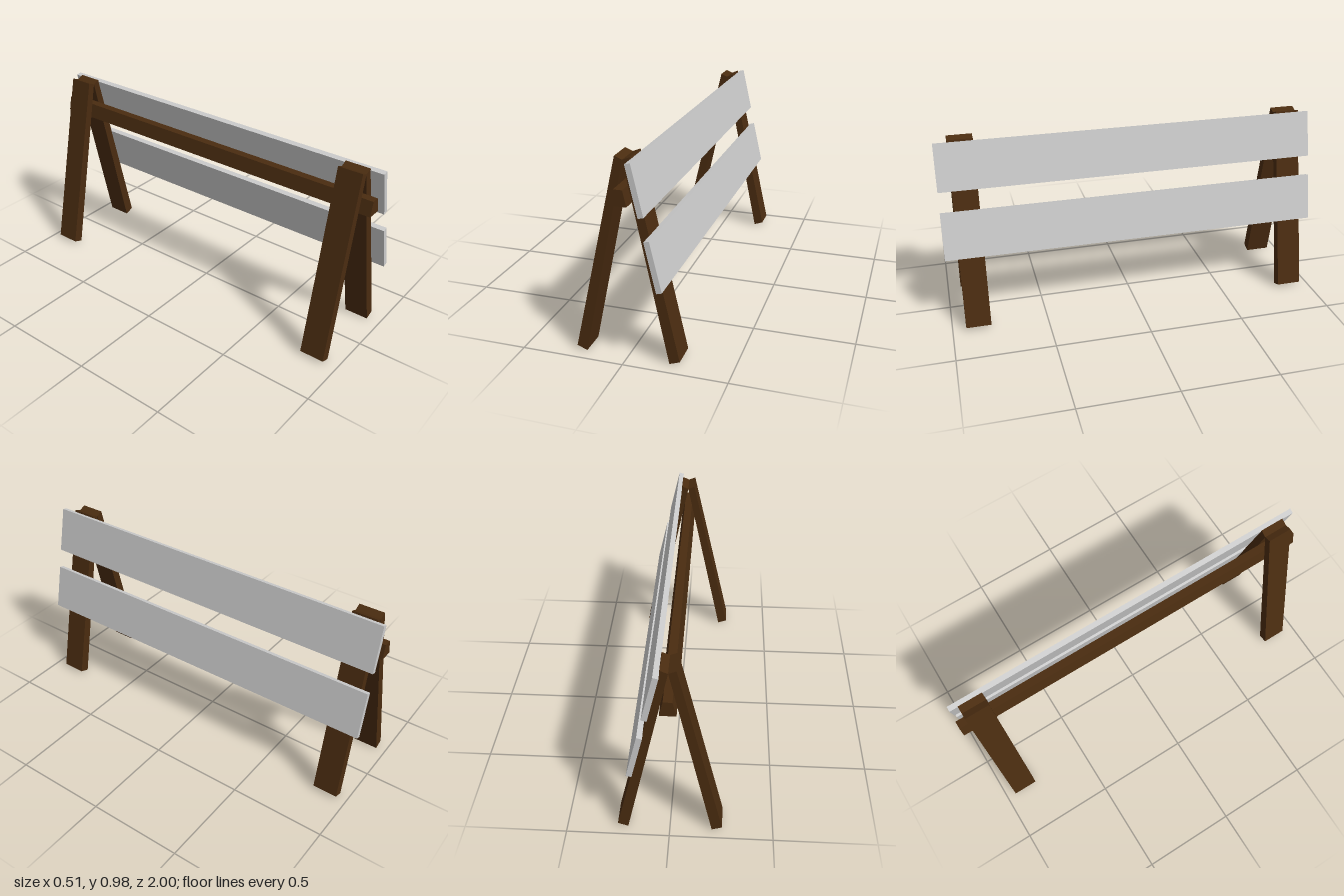
import * as THREE from 'three';

const wood = new THREE.MeshStandardMaterial({ color: 0x4a2c10, flatShading: true });
const grey = new THREE.MeshStandardMaterial({ color: 0xcccccc, flatShading: true });

// A plank: an xy cross-section drawn out from z0 to z1
function plank(name, corners, z0, z1, material) {
  const shape = new THREE.Shape(corners.map(([x, y]) => new THREE.Vector2(x, y)));
  const geometry = new THREE.ExtrudeGeometry(shape, { depth: z1 - z0, bevelEnabled: false });
  geometry.translate(0, 0, z0);
  const mesh = new THREE.Mesh(geometry, material);
  mesh.name = name;
  return mesh;
}

export function createModel() {
  const group = new THREE.Group();
  group.name = 'barricade';

  // Two A-frames of splayed legs
  const leg = [[0, 0.963], [0.204, 0], [0.254, 0.018], [0.036, 0.978]];
  for (const [end, z0, z1] of [['front', 0.8, 0.93], ['back', -0.95, -0.82]]) {
    for (const [side, s] of [['Left', 1], ['Right', -1]]) {
      group.add(plank(`${end}${side}Leg`, leg.map(([x, y]) => [s * x, y]), z0, z1, wood));
    }
  }

  // Ridge beam wedged between the legs
  const beam = [[-0.038, 0.772], [0.038, 0.772], [0.021, 0.848], [-0.021, 0.848]];
  group.add(plank('ridgeBeam', beam, -1, 0.99, wood));

  // Slanted boards resting on the left legs
  const board = [[0.037, 0.968], [0.092, 0.73], [0.118, 0.737], [0.063, 0.975]];
  for (const [name, dx, dy] of [['upperBoard', 0, 0], ['lowerBoard', 0.078, -0.343]]) {
    group.add(plank(name, board.map(([x, y]) => [x + dx, y + dy]), -0.995, 1, grey));
  }
  return group;
}
